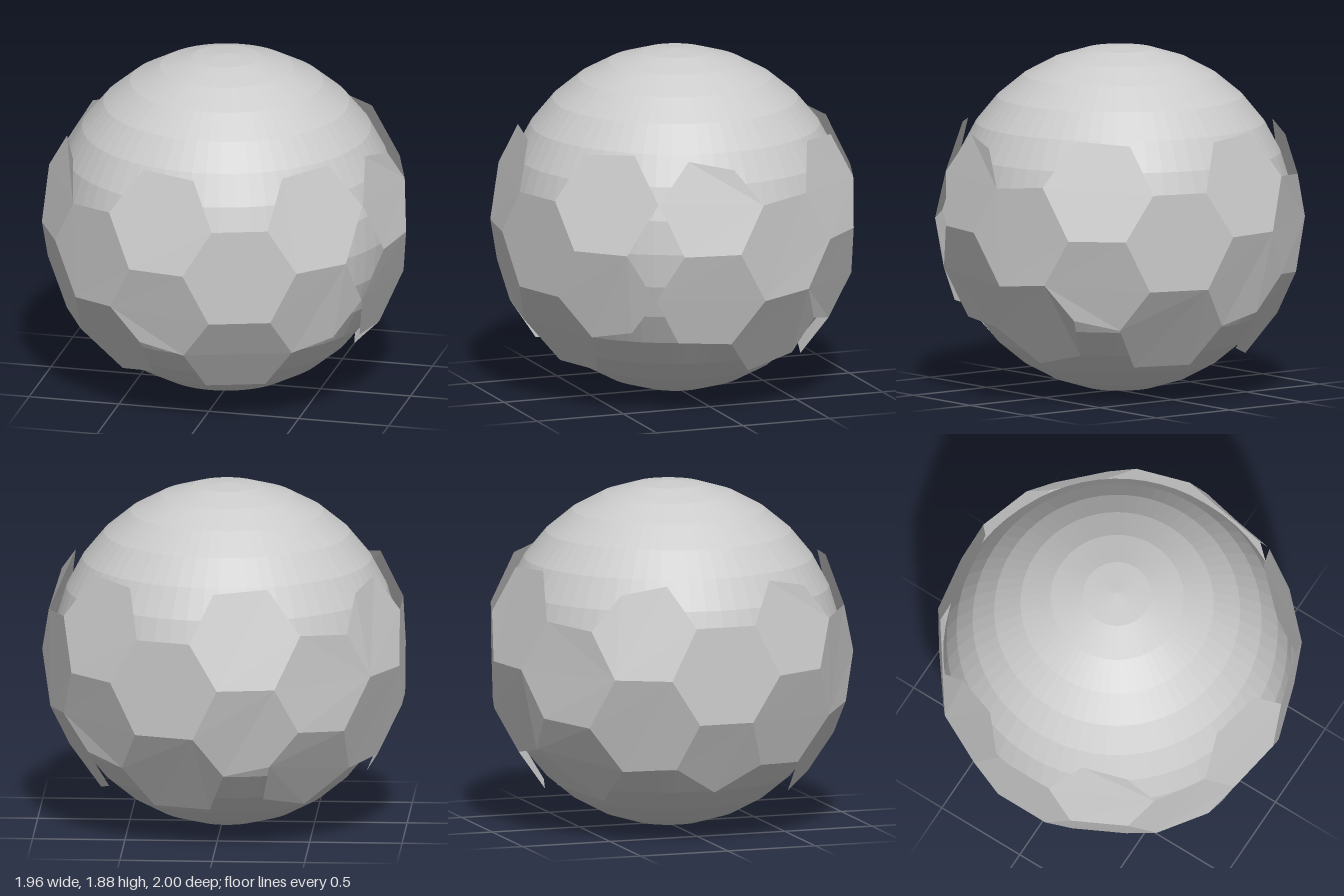
import * as THREE from 'three';

const CENTER = new THREE.Vector3(-0.0245, 0.94, 0);

// point on the unit sphere from longitude in degrees (0 = +x, 90 = +z) and height
function onSphere([lon, y]) {
  const a = THREE.MathUtils.degToRad(lon), r = Math.sqrt(1 - y * y);
  return new THREE.Vector3(r * Math.cos(a), y, r * Math.sin(a));
}

// flat tile spanned by a loop of corners, wound to face outwards
function tileGeometry(corners) {
  const p = corners.map(onSphere);
  const mid = p.reduce((s, v) => s.add(v), new THREE.Vector3());
  const n = p[2].clone().sub(p[0]).cross(p[3].clone().sub(p[0]));
  if (n.dot(mid) < 0) p.reverse();
  const pos = [];
  for (let i = 1; i < p.length - 1; i++) {
    for (const v of [p[0], p[i], p[i + 1]]) pos.push(v.x, v.y, v.z);
  }
  const g = new THREE.BufferGeometry();
  g.setAttribute('position', new THREE.Float32BufferAttribute(pos, 3));
  g.computeVertexNormals();
  return g;
}

// symmetries of the tile belt
const same = ([l, y]) => [l, y];
const mirrorFront = ([l, y]) => [144 - l, y];
const mirrorBack = ([l, y]) => [360 - l, y];
const turn = ([l, y]) => [l - 144, y];
const flip = ([l, y]) => [252 - l, -y];

// corner loops: [longitude, height]
const upperA = [[90, 0], [108, 0], [117.6, 0.28], [108, 0.526], [88.2, 0.505], [81, 0.249]];
const upperB = [[144, 0], [162, 0], [170, 0.28], [160.2, 0.5], [144.1, 0.448], [135.3, 0.253]];
const middleA = [[90, 0], [81, 0.249], [63, 0.249], [54, 0], [62, -0.28], [82, -0.28]];
const middleB = [[144, 0], [135.3, 0.253], [117.6, 0.28], [108, 0], [116.7, -0.253], [134.4, -0.28]];
const bottomA = [[82, -0.28], [62, -0.28], [52.2, -0.5], [58.5, -0.725], [85.5, -0.725], [91.8, -0.5]];
const bottomB = [[116.7, -0.253], [134.4, -0.28], [144, -0.526], [130.3, -0.722], [108.2, -0.656], [107.9, -0.448]];
const bottomPentagon = [[171, -0.249], [189, -0.249], [196.2, -0.505], [180, -0.655], [163.8, -0.505]];

const placeA = [same, mirrorFront, mirrorBack, turn];
const placeB = [same, mirrorBack, turn];
const placeS = [same, mirrorBack];

const tiles = [
  ['upperTile', upperA, placeA],
  ['upperTile', upperB, placeB],
  ['lowerTile', upperB.map(flip), placeA],
  ['lowerTile', upperA.map(flip), placeB],
  ['middleTile', middleA, placeS],
  ['middleTile', middleB, placeB],
  ['middleTile', middleA.map(flip), [same]],
  ['bottomTile', bottomA, placeS],
  ['bottomTile', bottomB, placeB],
  ['bottomPentagon', bottomPentagon, [same]],
];

export function createModel() {
  const group = new THREE.Group();
  group.name = 'tiledBall';

  // inner ball with flat horizontal bands
  const ball = new THREE.Mesh(
    new THREE.SphereGeometry(0.94, 64, 16),
    new THREE.MeshStandardMaterial({ color: 0xcccccc, flatShading: true }),
  );
  ball.name = 'innerBall';
  ball.position.copy(CENTER);
  group.add(ball);

  // belt of thin tiles around the ball
  const belt = new THREE.Group();
  belt.name = 'tileBelt';
  belt.position.copy(CENTER);
  const tileMaterial = new THREE.MeshStandardMaterial({
    color: 0xcccccc, flatShading: true, side: THREE.DoubleSide,
  });
  for (const [name, corners, places] of tiles) {
    for (const place of places) {
      const tile = new THREE.Mesh(tileGeometry(corners.map(place)), tileMaterial);
      tile.name = name;
      belt.add(tile);
    }
  }
  group.add(belt);
  return group;
}
